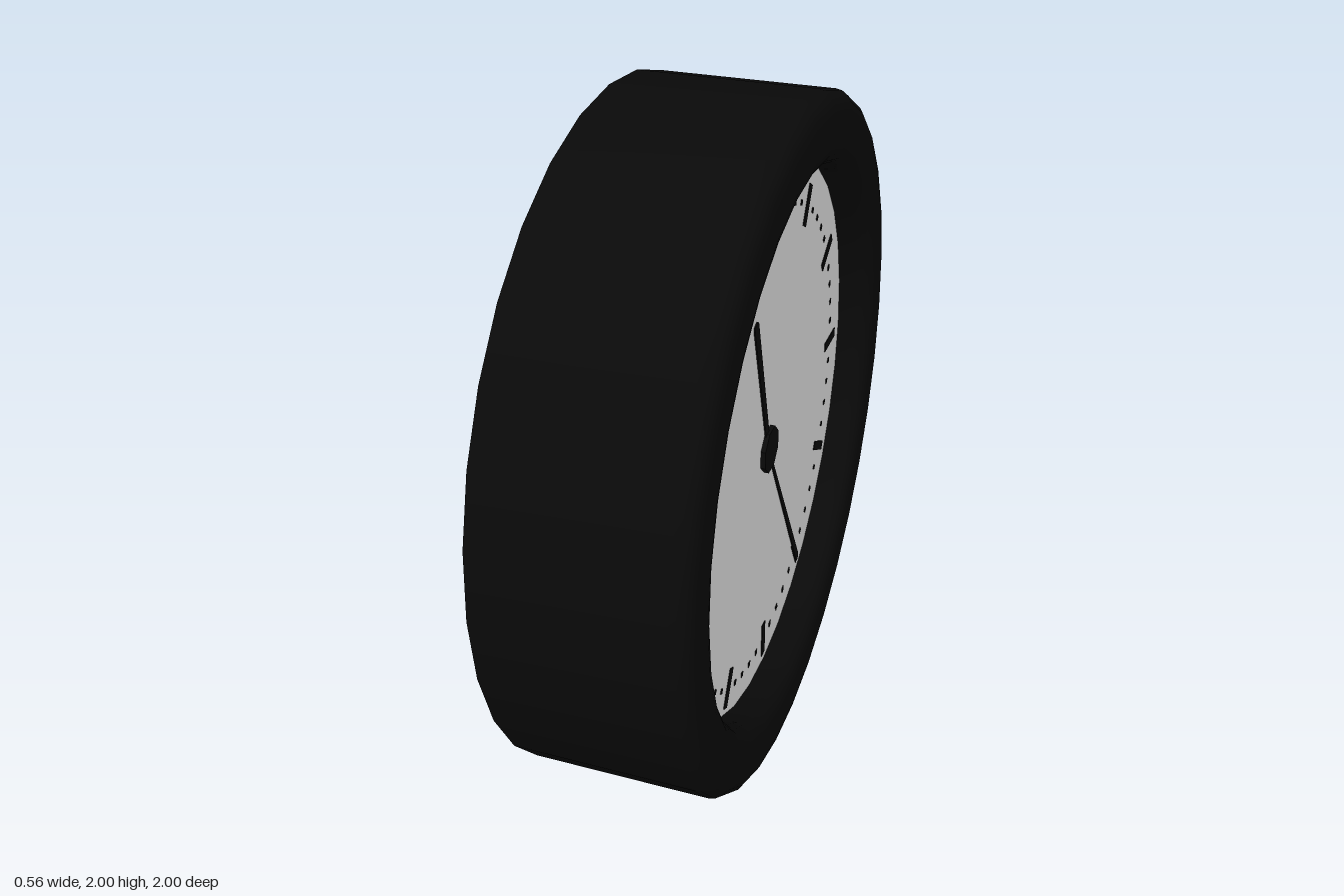
import * as THREE from 'three';
import { toCreasedNormals } from 'three/addons/utils/BufferGeometryUtils.js';

const SIDES = 32;
const HALF_DEPTH = 0.278;
const FACE_Z = 0.174;          // dial plane, recessed behind the rim
const CX = -0.018, CY = -0.01; // centre of the markings on the dial

export function createModel() {
  const black = new THREE.MeshStandardMaterial({ color: 0x090909 });
  black.name = 'black';
  const white = new THREE.MeshStandardMaterial({ color: 0xe7e7e7 });
  white.name = 'dial white';

  const model = new THREE.Group();
  model.name = 'wallClock';

  // Built facing +z around the origin, then turned to face +x
  const clock = new THREE.Group();
  clock.name = 'clock';
  clock.position.y = 1;
  clock.rotation.y = Math.PI / 2;
  model.add(clock);

  const add = (name, geometry, material, parent = clock) => {
    const mesh = new THREE.Mesh(geometry, material);
    mesh.name = name;
    parent.add(mesh);
    return mesh;
  };

  // Case: flat back, straight wall, rounded rim, inner wall down to the dial
  const profile = [new THREE.Vector2(0, -HALF_DEPTH), new THREE.Vector2(1, -HALF_DEPTH)];
  const arc = (r, from) => {
    for (let i = 0; i <= 4; i++) {
      const a = from + (i / 4) * (Math.PI / 2);
      profile.push(new THREE.Vector2(r + 0.05 * Math.cos(a), HALF_DEPTH - 0.05 + 0.05 * Math.sin(a)));
    }
  };
  arc(0.95, 0);
  arc(0.85, Math.PI / 2);
  profile.push(new THREE.Vector2(0.8, FACE_Z));
  const caseGeometry = new THREE.LatheGeometry(profile, SIDES);
  caseGeometry.rotateX(Math.PI / 2);
  add('case', toCreasedNormals(caseGeometry, 0.6), black);

  // Dial
  add('dial', new THREE.CircleGeometry(0.8, SIDES), white).position.z = FACE_Z;

  // Hour ticks and minute dots
  const marks = new THREE.Group();
  marks.name = 'dialMarks';
  marks.position.set(CX, CY, FACE_Z);
  clock.add(marks);
  const tick = new THREE.BoxGeometry(0.03, 0.12, 0.006);
  const dot = new THREE.BoxGeometry(0.016, 0.016, 0.004);
  for (let i = 0; i < 60; i++) {
    const a = (i / 60) * Math.PI * 2;
    const hour = i % 5 === 0;
    const r = 0.7;
    const mark = add(hour ? 'hourTick' : 'minuteDot', hour ? tick : dot, black, marks);
    mark.position.set(Math.sin(a) * r, Math.cos(a) * r, 0);
    mark.rotation.z = -a;
  }

  // Tapered hands pointing from the hub to a tip
  const addHand = (name, x, y, baseWidth, tipWidth, z) => {
    const dx = x - CX, dy = y - CY;
    const length = Math.hypot(dx, dy);
    const b = baseWidth / 2, t = tipWidth / 2;
    const shape = new THREE.Shape([
      new THREE.Vector2(-b, 0), new THREE.Vector2(b, 0),
      new THREE.Vector2(t, length - 0.01), new THREE.Vector2(t * 0.6, length),
      new THREE.Vector2(-t * 0.6, length), new THREE.Vector2(-t, length - 0.01),
    ]);
    const hand = add(name, new THREE.ExtrudeGeometry(shape, { depth: 0.004, bevelEnabled: false }), black);
    hand.position.set(CX, CY, z);
    hand.rotation.z = -Math.atan2(dx, dy);
  };
  addHand('hourHand', -0.165, 0.46, 0.028, 0.036, FACE_Z + 0.002);
  addHand('minuteHand', 0.362, -0.665, 0.01, 0.026, FACE_Z + 0.001);

  // Octagonal hub
  const hubGeometry = new THREE.CylinderGeometry(0.07, 0.07, 0.02, 8);
  hubGeometry.rotateY(Math.PI / 8);
  hubGeometry.rotateX(Math.PI / 2);
  add('hub', toCreasedNormals(hubGeometry, 0.6), black).position.set(CX, CY, FACE_Z + 0.004);

  return model;
}
